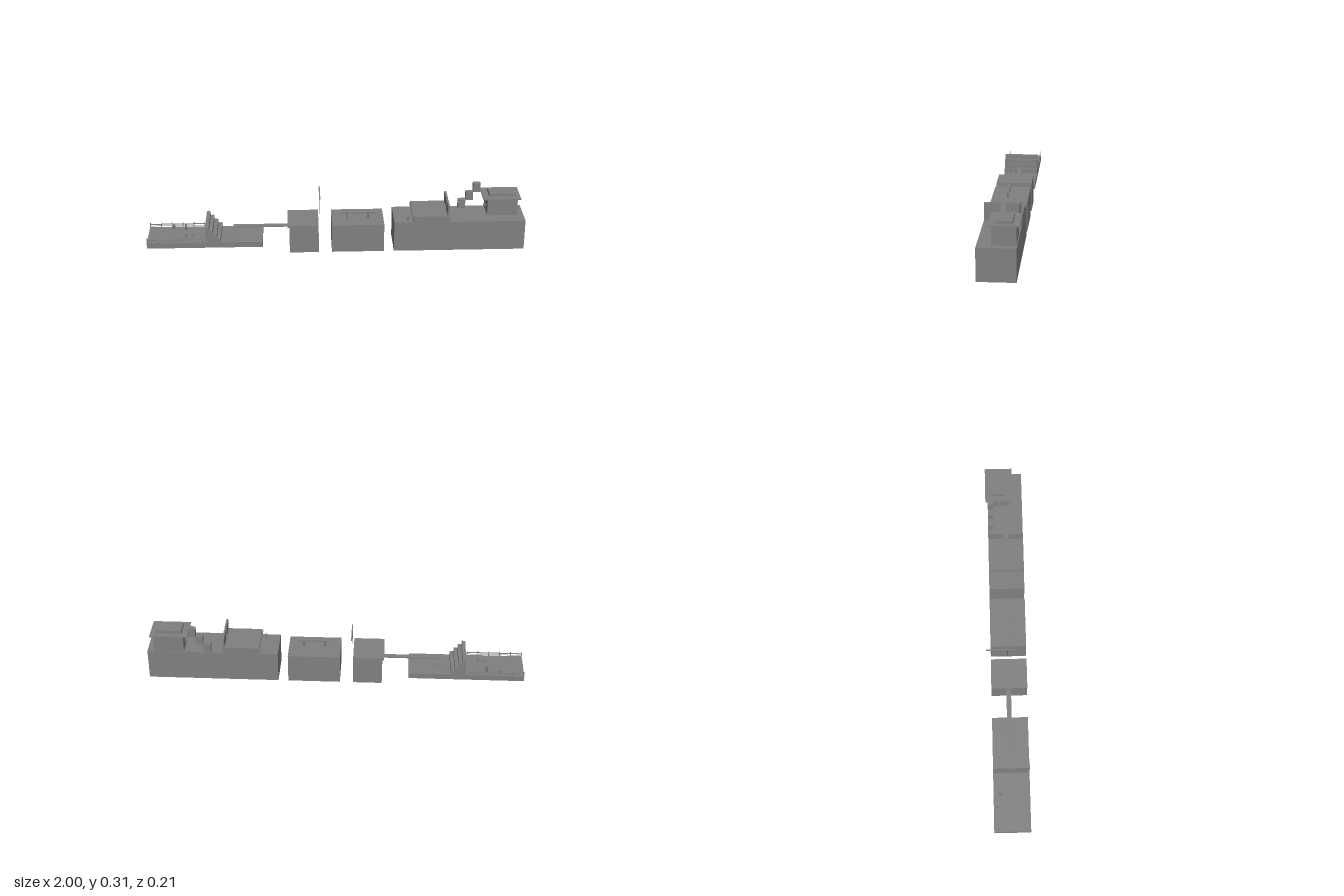
import * as THREE from 'three';

export function createModel() {
  const model = new THREE.Group();
  const grey = new THREE.MeshStandardMaterial({ color: 0x808080 });
  grey.name = 'plain grey';
  const Z0 = -0.083, Z1 = 0.107; // common depth of the blocks

  // Box given by its extents
  function box(name, x0, x1, y0, y1, z0 = Z0, z1 = Z1) {
    const mesh = new THREE.Mesh(new THREE.BoxGeometry(x1 - x0, y1 - y0, z1 - z0), grey);
    mesh.position.set((x0 + x1) / 2, (y0 + y1) / 2, (z0 + z1) / 2);
    mesh.name = name;
    model.add(mesh);
    return mesh;
  }
  // Upright post standing at x, z
  function post(name, x, z, y0, y1, r = 0.003) {
    const mesh = new THREE.Mesh(new THREE.CylinderGeometry(r, r, y1 - y0, 8), grey);
    mesh.position.set(x, (y0 + y1) / 2, z);
    mesh.name = name;
    model.add(mesh);
  }

  // Low platform with a staircase
  box('lowPlatform', -1, -0.39, 0.037, 0.067);
  [0.158, 0.136, 0.113, 0.09].forEach((top, i) =>
    box('stairStep', -0.69 + i * 0.02, -0.67 + i * 0.02, 0.067, top));

  // Railings along both long edges
  for (const z of [Z0 + 0.003, Z1 - 0.003]) {
    for (let i = 0; i < 6; i++) {
      const x = -0.997 + i * 0.0585;
      box('railingPost', x - 0.002, x + 0.002, 0.067, 0.094, z - 0.002, z + 0.002);
    }
    box('railingTopRail', -1, -0.7, 0.083, 0.087, z - 0.002, z + 0.002);
    box('railingMidRail', -1, -0.7, 0.074, 0.076, z - 0.001, z + 0.001);
  }

  // Furnishings on the platform
  post('stool', -0.868, -0.062, 0.067, 0.088, 0.007);
  post('bollard', -0.803, -0.045, 0.067, 0.103, 0.006);
  box('tableTop', -0.802, -0.756, 0.083, 0.088, 0.03, 0.048);
  for (const x of [-0.797, -0.761]) box('tableLeg', x - 0.003, x + 0.003, 0.067, 0.083, 0.033, 0.045);
  box('floorPlate', -0.558, -0.536, 0.067, 0.073, 0.0, 0.021);

  // Plank bridge to the small block
  box('plankBridge', -0.545, -0.247, 0.11, 0.117, -0.004, 0.021);
  box('smallBlock', -0.247, -0.093, 0, 0.157);
  box('smallBlockLip', -0.257, -0.247, 0.146, 0.157);

  // Hanging bar with two thin ropes
  box('hangingBar', -0.088, -0.082, 0.279, 0.285, -0.107, 0.043);
  for (const z of [0.033, 0.006]) post('hangingRope', -0.085, z, 0.19, 0.279, 0.0015);

  // Middle block with a handrail
  box('middleBlock', -0.023, 0.253, 0, 0.157);
  box('handrail', 0.027, 0.204, 0.186, 0.194, 0.017, 0.03);
  for (const x of [0.058, 0.171]) post('handrailPost', x, 0.0235, 0.157, 0.187, 0.005);

  // Long block with a raised deck
  box('longBlock', 0.306, 1, 0, 0.167);
  box('raisedDeck', 0.405, 0.6, 0.167, 0.2);
  box('deckEdgeRail', 0.4, 0.405, 0.186, 0.192);
  post('deckPost', 0.38, 0.08, 0.167, 0.187, 0.006);

  // Twin wall panels with a gap between them
  box('wallPanel', 0.587, 0.597, 0.2, 0.258, Z0, 0);
  box('wallPanel', 0.587, 0.597, 0.2, 0.258, 0.024, Z1);

  // Rising stepping blocks
  [[0.66, 0.168, 0.216], [0.7, 0.216, 0.262], [0.738, 0.262, 0.311]].forEach(([x, y0, y1]) =>
    box('steppingBlock', x, x + 0.039, y0, y1, -0.081, -0.053));

  // Tower and its layered roof
  box('tower', 0.805, 0.965, 0.167, 0.262, -0.079, 0.037);
  box('roofSlab', 0.78, 0.98, 0.262, 0.2685, -0.095, 0.053);
  box('roofCap', 0.815, 0.957, 0.2685, 0.285, -0.062, 0.018);
  box('towerKnob', 0.792, 0.805, 0.196, 0.206, -0.026, -0.016);

  return model;
}
